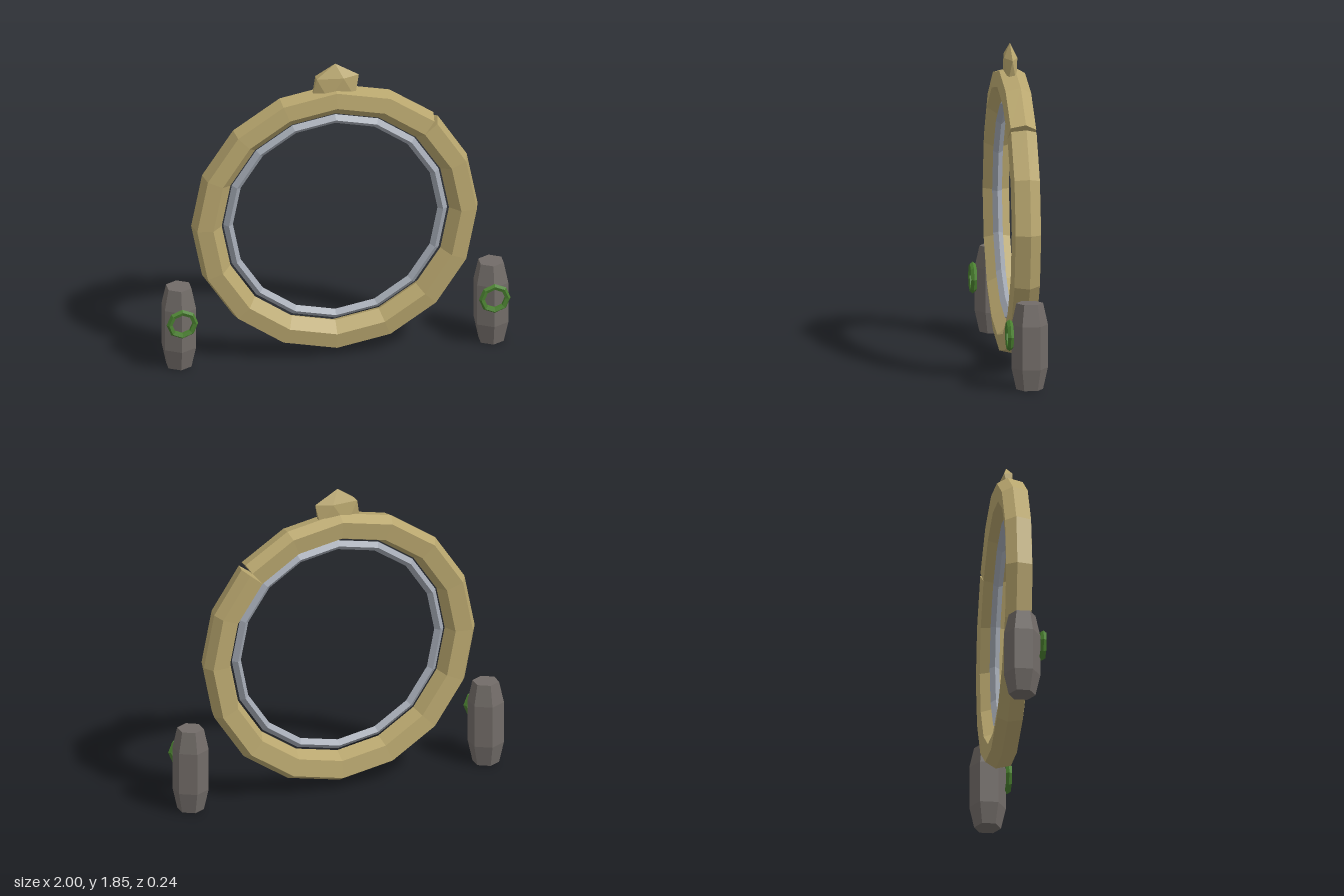
import * as THREE from 'three';
import { ConvexGeometry } from 'three/addons/geometries/ConvexGeometry.js';

function material(name, color) {
  const m = new THREE.MeshStandardMaterial({ color, flatShading: true });
  m.name = name;
  return m;
}

// Faceted hoop swept from a [radius, z] section, split by a small V-shaped crack at 45 degrees
function crackedHoop(section, segments, crackRadius, crackAngle) {
  const n = section.length;
  const outer = Math.max(...section.map(([r]) => r));
  const pos = [];
  const idx = [];
  for (let i = 0; i <= segments; i++) {
    const side = i === 0 ? 1 : i === segments ? -1 : 0;
    for (const [r, z] of section) {
      const open = Math.max(0, (r - crackRadius) / (outer - crackRadius));
      const a = Math.PI / 4 + (i / segments) * Math.PI * 2 + side * crackAngle * open;
      pos.push(r * Math.cos(a), r * Math.sin(a), z);
    }
  }
  for (let i = 0; i < segments; i++) {
    for (let j = 0; j < n; j++) {
      const k = (j + 1) % n;
      const a = i * n + j, b = a + n, c = i * n + k, d = c + n;
      idx.push(a, b, c, b, d, c);
    }
  }
  // Caps inside the crack
  const e = segments * n;
  for (let j = 1; j < n - 1; j++) idx.push(0, j, j + 1, e, e + j + 1, e + j);
  const g = new THREE.BufferGeometry();
  g.setAttribute('position', new THREE.Float32BufferAttribute(pos, 3));
  g.setIndex(idx);
  const flat = g.toNonIndexed();
  flat.computeVertexNormals();
  return flat;
}

// Flattened icosahedron standing on one of its points
function gemGeometry(rx, ry, rz) {
  const pts = [new THREE.Vector3(0, ry, 0), new THREE.Vector3(0, -ry, 0)];
  for (let i = 0; i < 5; i++) {
    const a = (i / 5) * Math.PI * 2;
    const x = 0.894 * rx * Math.cos(a), z = 0.894 * rz * Math.sin(a);
    pts.push(new THREE.Vector3(x, 0.447 * ry, z), new THREE.Vector3(-x, -0.447 * ry, -z));
  }
  return new ConvexGeometry(pts);
}

export function createModel() {
  const gold = material('dull gold', 0xb8a66e);
  const silver = material('silver', 0xa2a8b2);
  const stone = material('grey stone', 0x726c68);
  const green = material('green', 0x4a8030);

  const group = new THREE.Group();
  const add = (name, geometry, mat, x, y, z, parent = group) => {
    const mesh = new THREE.Mesh(geometry, mat);
    mesh.name = name;
    mesh.position.set(x, y, z);
    parent.add(mesh);
    return mesh;
  };

  // Main hoop with its crack
  const section = [[0.832, -0.032], [0.812, 0.055], [0.72, 0.067], [0.66, 0.0], [0.695, -0.082], [0.797, -0.093]];
  add('outerRing', crackedHoop(section, 16, 0.757, 0.021), gold, 0, 0.87, 0);

  // Thin inner hoop
  add('innerRing', new THREE.TorusGeometry(0.622, 0.028, 4, 16), silver, 0, 0.873, -0.005);

  // Pointed crest on top
  add('crest', gemGeometry(0.154, 0.147, 0.045), gold, 0, 1.698, -0.006);

  // Side pillars, each with a green ring on the front
  const profile = [[0, 0], [0.077, 0], [0.105, 0.125], [0.105, 0.375], [0.077, 0.5], [0, 0.5]]
    .map(([r, y]) => new THREE.Vector2(r, y));
  const pillarGeometry = new THREE.LatheGeometry(profile, 6);
  const ringGeometry = new THREE.TorusGeometry(0.074, 0.018, 5, 8);
  for (const [side, name] of [[1, 'left'], [-1, 'right']]) {
    const post = new THREE.Group();
    post.name = name + 'Post';
    post.position.x = side * 0.907;
    group.add(post);
    add(name + 'Pillar', pillarGeometry, stone, 0, 0, -0.014, post);
    add(name + 'PillarRing', ringGeometry, green, 0, 0.315, 0.102, post);
  }
  return group;
}
